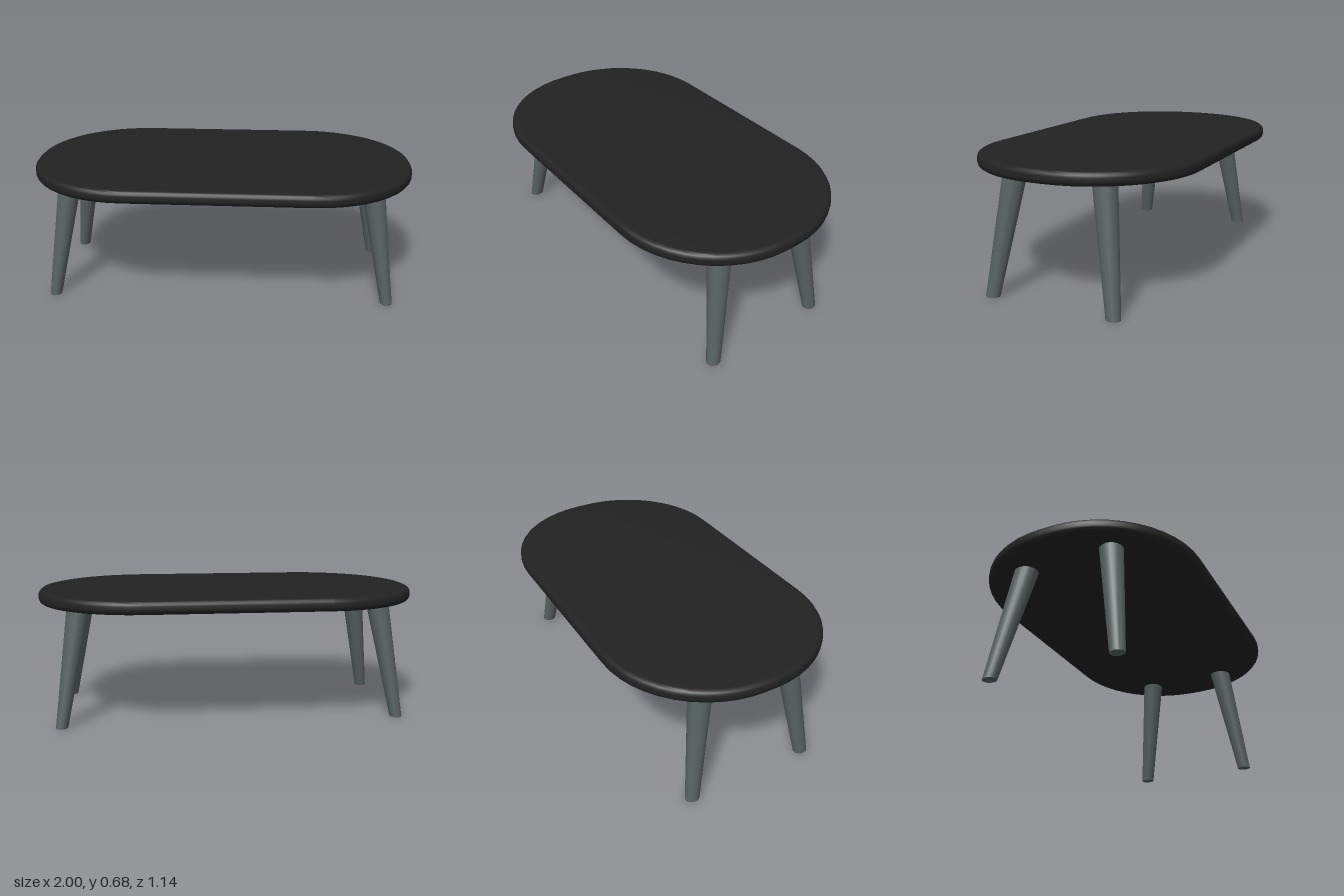
import * as THREE from 'three';
import { toCreasedNormals } from 'three/addons/utils/BufferGeometryUtils.js';

const HEIGHT = 0.68, THICKNESS = 0.067, BEVEL = 0.025;

// Rounded rectangle outline, centred on the origin
function roundedRect(hx, hy, r) {
  const s = new THREE.Shape();
  s.absarc(hx - r, hy - r, r, 0, Math.PI / 2);
  s.absarc(r - hx, hy - r, r, Math.PI / 2, Math.PI);
  s.absarc(r - hx, r - hy, r, Math.PI, Math.PI * 1.5);
  s.absarc(hx - r, r - hy, r, Math.PI * 1.5, Math.PI * 2);
  return s;
}

// Tapered leg, slanted by shifting each level so both ends stay horizontal
function legGeometry(sx, sz) {
  const top = HEIGHT - THICKNESS + 0.005;
  const g = new THREE.CylinderGeometry(1, 1, top, 20);
  g.translate(0, top / 2, 0);
  const p = g.attributes.position;
  const mix = THREE.MathUtils.lerp;
  for (let i = 0; i < p.count; i++) {
    const t = p.getY(i) / top;
    p.setX(i, sx * mix(0.882, 0.78, t) + p.getX(i) * mix(0.031, 0.06, t));
    p.setZ(i, 0.003 + sz * mix(0.327, 0.237, t) + p.getZ(i) * mix(0.037, 0.06, t));
  }
  return toCreasedNormals(g, 0.6);
}

export function createModel() {
  const group = new THREE.Group();
  group.name = 'coffeeTable';
  const topMaterial = new THREE.MeshStandardMaterial({ color: 0x222222 });
  topMaterial.name = 'charcoal black';
  const legMaterial = new THREE.MeshStandardMaterial({ color: 0x566160 });
  legMaterial.name = 'slate grey';

  // Tabletop with a softened rim
  const topGeometry = new THREE.ExtrudeGeometry(
    roundedRect(1 - BEVEL, 0.57 - BEVEL, 0.54 - BEVEL),
    {
      depth: THICKNESS - 2 * BEVEL, curveSegments: 6,
      bevelThickness: BEVEL, bevelSize: BEVEL, bevelSegments: 4,
    }
  );
  topGeometry.rotateX(-Math.PI / 2);
  topGeometry.translate(0, HEIGHT - THICKNESS + BEVEL, 0);
  const top = new THREE.Mesh(toCreasedNormals(topGeometry, 0.6), topMaterial);
  top.name = 'tabletop';
  group.add(top);

  // Four splayed legs
  for (const sx of [-1, 1]) {
    for (const sz of [-1, 1]) {
      const leg = new THREE.Mesh(legGeometry(sx, sz), legMaterial);
      leg.name = (sz > 0 ? 'front' : 'back') + (sx > 0 ? 'Left' : 'Right') + 'Leg';
      group.add(leg);
    }
  }
  return group;
}
